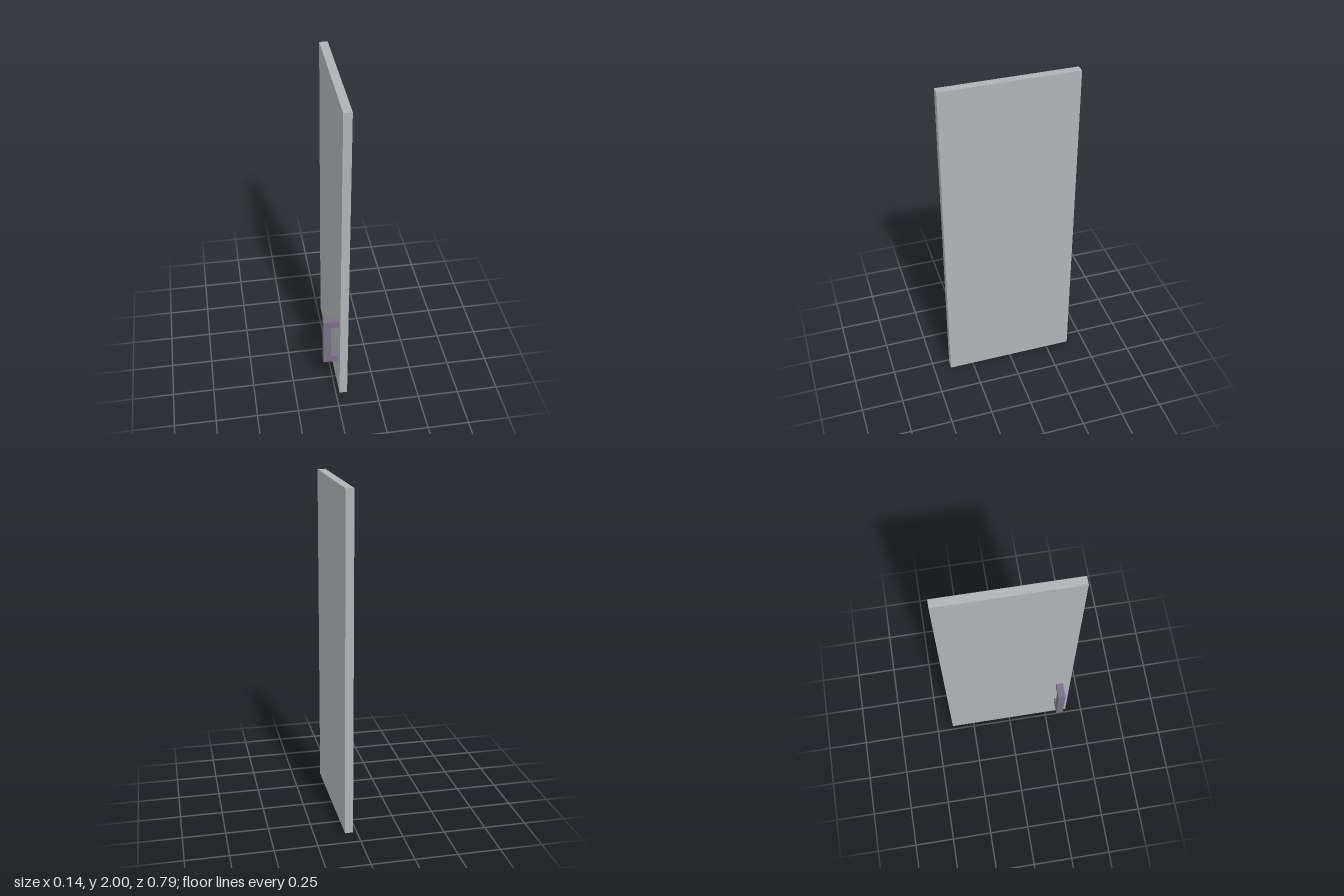
import * as THREE from 'three';

export function createModel() {
  const group = new THREE.Group();
  const panelGrey = new THREE.MeshStandardMaterial({ name: 'panelGrey', color: 0xb0b3b6 });
  const handlePurple = new THREE.MeshStandardMaterial({ name: 'handlePurple', color: 0x767083 });

  // Flat door panel
  const panel = new THREE.Mesh(new THREE.BoxGeometry(0.048, 2, 0.79), panelGrey);
  panel.name = 'doorPanel';
  panel.position.set(0.046, 1, 0);
  group.add(panel);

  // Square bracket pull handle, profile in x and y, extruded along z
  const outer = -0.07, inner = -0.026, face = 0.022;
  const bottom = 0.236, top = 0.562, bar = 0.045;
  const profile = new THREE.Shape([
    [face, bottom], [face, bottom + bar], [inner, bottom + bar], [inner, top - bar],
    [face, top - bar], [face, top], [outer, top], [outer, bottom],
  ].map(([x, y]) => new THREE.Vector2(x, y)));
  const handle = new THREE.Mesh(
    new THREE.ExtrudeGeometry(profile, { depth: 0.045, bevelEnabled: false }), handlePurple);
  handle.name = 'pullHandle';
  handle.position.z = 0.303;
  group.add(handle);

  return group;
}
